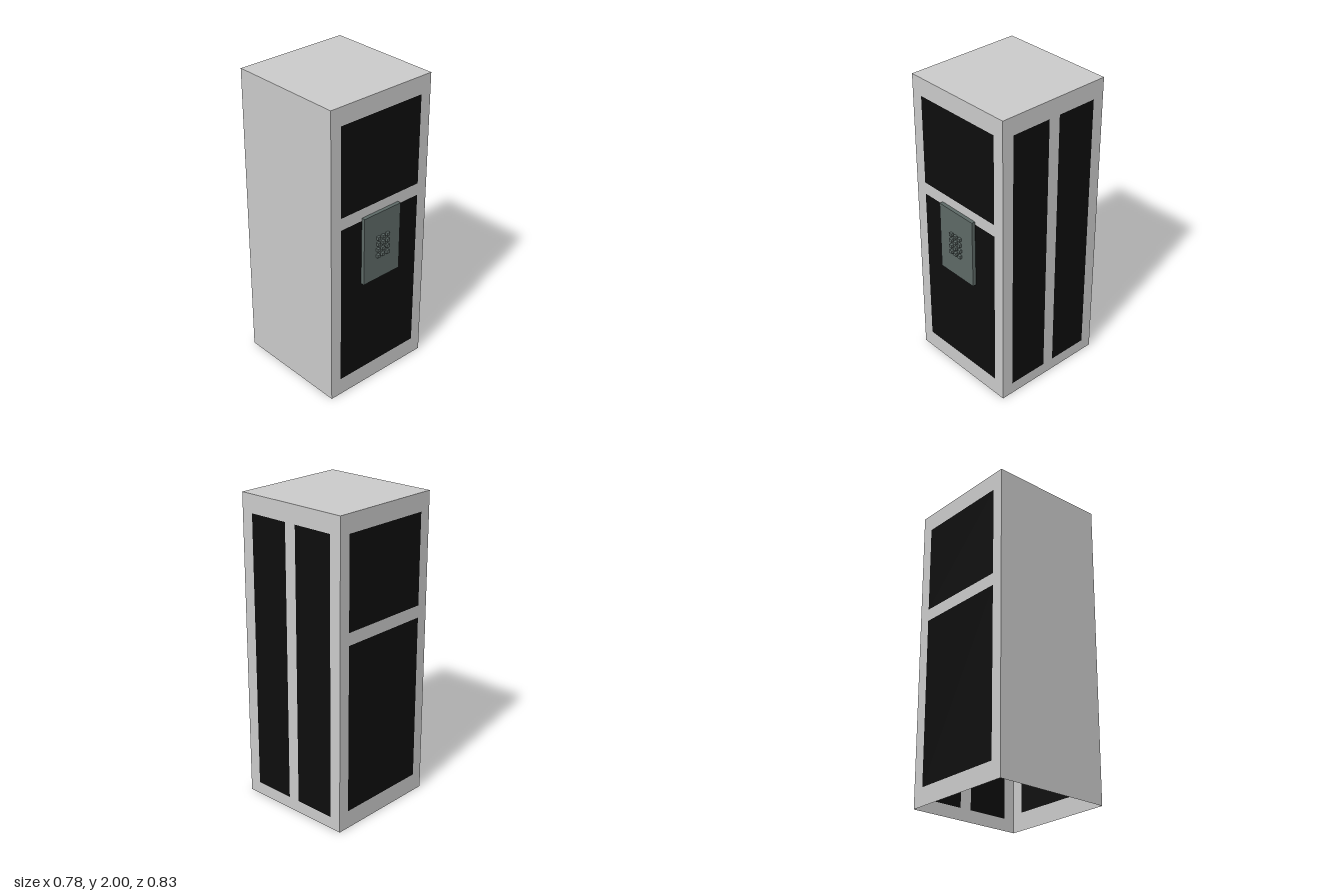
import * as THREE from 'three';

const material = (name, color, side = THREE.FrontSide) => {
  const m = new THREE.MeshStandardMaterial({ color, side });
  m.name = name;
  return m;
};

export function createModel() {
  const frameGrey = material('frame grey', 0xcacaca, THREE.DoubleSide);
  const glassBlack = material('dark glass', 0x0d0d0d, THREE.DoubleSide);
  const phoneGrey = material('phone grey green', 0x5d6966);

  const X = 0.39, BACK = -0.415, FRONT = 0.37, H = 2;
  const root = new THREE.Group();
  root.name = 'phoneBooth';

  const add = (parent, name, geometry, mat, x = 0, y = 0, z = 0) => {
    const mesh = new THREE.Mesh(geometry, mat);
    mesh.name = name;
    mesh.position.set(x, y, z);
    parent.add(mesh);
    return mesh;
  };

  // Rectangle outline from left, bottom, right, top
  const rect = (Type, [l, b, r, t]) => new Type([
    new THREE.Vector2(l, b), new THREE.Vector2(r, b),
    new THREE.Vector2(r, t), new THREE.Vector2(l, t),
  ]);

  // Thin wall in its own xy plane, with dark panes filling its openings
  const wall = (name, bounds, panes) => {
    const group = new THREE.Group();
    group.name = name;
    const frame = rect(THREE.Shape, bounds);
    panes.forEach((p) => frame.holes.push(rect(THREE.Path, p)));
    add(group, name + 'Frame', new THREE.ShapeGeometry(frame), frameGrey);
    panes.forEach((p, i) => add(group, `${name}Pane${i + 1}`,
      new THREE.ShapeGeometry(rect(THREE.Shape, p)), glassBlack));
    root.add(group);
    return group;
  };

  // Front and back walls share an upper and a lower pane
  const doorPanes = [[-0.314, 1.294, 0.316, 1.883], [-0.314, 0.118, 0.316, 1.214]];
  wall('frontWall', [-X, 0, X, H], doorPanes).position.z = FRONT;
  const back = wall('backWall', [-X, 0, X, H], doorPanes);
  back.position.z = BACK;
  back.rotation.y = Math.PI;

  // Left wall has two tall panes; its local x runs along -z
  const left = wall('leftWall', [-FRONT, 0, -BACK, H],
    [[-0.291, 0.08, -0.016, 1.883], [0.063, 0.08, 0.338, 1.883]]);
  left.position.x = X;
  left.rotation.y = Math.PI / 2;

  // Right wall is plain; the bottom of the booth stays open
  const right = wall('rightWall', [BACK, 0, FRONT, H], []);
  right.position.x = -X;
  right.rotation.y = -Math.PI / 2;

  // Roof
  const roof = wall('roof', [-X, -FRONT, X, -BACK], []);
  roof.position.y = H;
  roof.rotation.x = -Math.PI / 2;

  // Keypad plate with a 3 by 4 grid of buttons
  const keypad = new THREE.Group();
  keypad.name = 'keypad';
  root.add(keypad);
  add(keypad, 'keypadPlate', new THREE.BoxGeometry(0.296, 0.462, 0.024), phoneGrey, -0.001, 1.003, 0.383);
  const button = new THREE.BoxGeometry(0.022, 0.021, 0.02);
  for (let row = 0; row < 4; row++) {
    for (let col = 0; col < 3; col++) {
      add(keypad, 'keypadButton', button, phoneGrey,
        -0.001 + (col - 1) * 0.038, 0.939 + row * 0.042, 0.402);
    }
  }
  return root;
}
